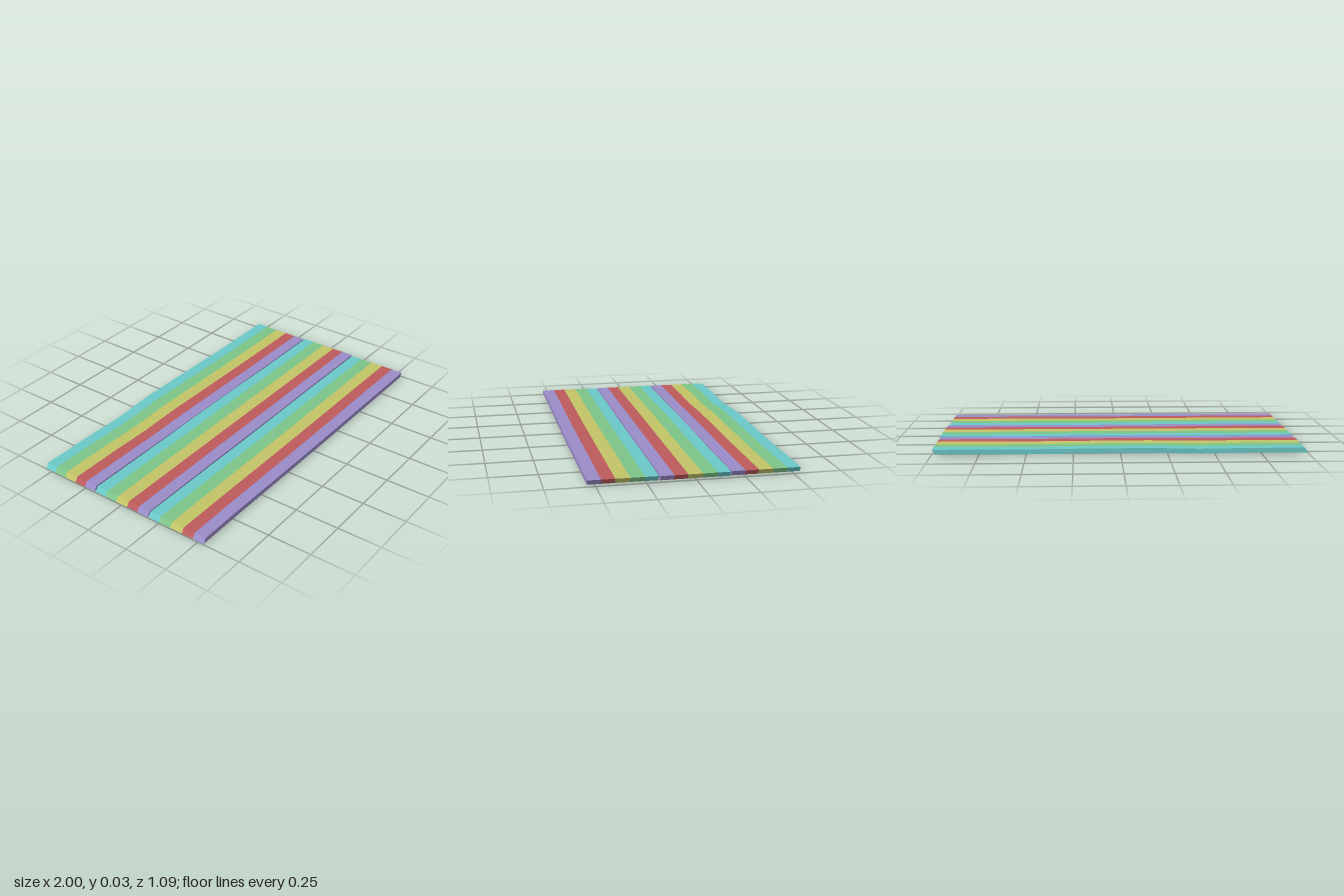
import * as THREE from 'three';

const mat = (name, color) => {
  const m = new THREE.MeshStandardMaterial({ color });
  m.name = name;
  return m;
};

const THICK = 0.026;
const STATIONS = [-1, -0.7, -0.42, -0.16, 0.2, 0.55, 1];

// Each plank: back and front edge z, right end x, and small wobbles (in thousandths) per station
const PLANKS = [
  { name: 'backPlank', z: [-0.54, -0.187], end: 0.995,
    backY: [4, 4, 0, 8, 6, 3, 5], frontY: [4, 5, 3, 6, 5, 4, 5],
    backZ: [0, 0, 4, -4, -1, 1, 1], frontZ: [-1, 0, 0, 2, 3, 3, 4] },
  { name: 'middlePlank', z: [-0.18, 0.177], end: 1,
    backY: [5, 4, 4, 6, 7, 4, 5], frontY: [4, 6, 5, 4, 3, 5, 5],
    backZ: [1, 0, 0, -1, 1, 3, 3], frontZ: [-1, 1, 0, 0, 1, 1, 3] },
  { name: 'frontPlank', z: [0.184, 0.538], end: 0.993,
    backY: [4, 5, 4, 3, 2, 4, 4], frontY: [5, 5, 4, 4, 3, 4, 5],
    backZ: [-2, 0, 0, 1, 0, 1, 3], frontZ: [-2, -3, -1, 1, 2, 2, 3] },
];

// Point on a plank: station i, v across the width (0 back, 1 front), top or bottom
function pointOn(p, i, v, top) {
  const mix = (a, b) => THREE.MathUtils.lerp(a, b, v);
  let x = STATIONS[i];
  // Slanted sawn ends
  if (i === 0) x = top ? -0.982 : -1;
  if (i === STATIONS.length - 1) x = top ? p.end : p.end - 0.016;
  const y = mix(p.backY[i], p.frontY[i]) / 1000 + (top ? THICK : 0);
  const z = mix(p.z[0] + p.backZ[i] / 1000, p.z[1] + p.frontZ[i] / 1000);
  return [x, y, z];
}

// One colour band running the length of a plank, from v0 to v1 across it
function bandGeometry(p, v0, v1) {
  const pos = [];
  const quad = (a, b, c, d) => pos.push(...a, ...b, ...c, ...a, ...c, ...d);
  const last = STATIONS.length - 1;
  const P = (i, v, top) => pointOn(p, i, v, top);
  for (let i = 0; i < last; i++) {
    const j = i + 1;
    quad(P(i, v1, true), P(j, v1, true), P(j, v0, true), P(i, v0, true)); // top
    quad(P(i, v0, false), P(j, v0, false), P(j, v1, false), P(i, v1, false)); // underside
    if (v0 === 0) quad(P(j, 0, false), P(i, 0, false), P(i, 0, true), P(j, 0, true)); // back edge
    if (v1 === 1) quad(P(i, 1, false), P(j, 1, false), P(j, 1, true), P(i, 1, true)); // front edge
  }
  quad(P(0, v0, false), P(0, v1, false), P(0, v1, true), P(0, v0, true)); // -x end
  quad(P(last, v1, false), P(last, v0, false), P(last, v0, true), P(last, v1, true)); // +x end
  const g = new THREE.BufferGeometry();
  g.setAttribute('position', new THREE.Float32BufferAttribute(pos, 3));
  g.computeVertexNormals();
  return g;
}

export function createModel() {
  const model = new THREE.Group();
  model.name = 'stripedPlanks';

  // Bands from back to front
  const bands = [
    mat('teal', 0x6ac8c8),
    mat('green', 0x7cc488),
    mat('yellow', 0xc2c466),
    mat('red', 0xbc5a5c),
    mat('purple', 0x9a8cc8),
  ];
  const cuts = [0, 0.19, 0.4, 0.61, 0.805, 1];

  for (const p of PLANKS) {
    const plank = new THREE.Group();
    plank.name = p.name;
    bands.forEach((m, k) => {
      const mesh = new THREE.Mesh(bandGeometry(p, cuts[k], cuts[k + 1]), m);
      mesh.name = `${m.name}Stripe`;
      plank.add(mesh);
    });
    model.add(plank);
  }
  return model;
}
